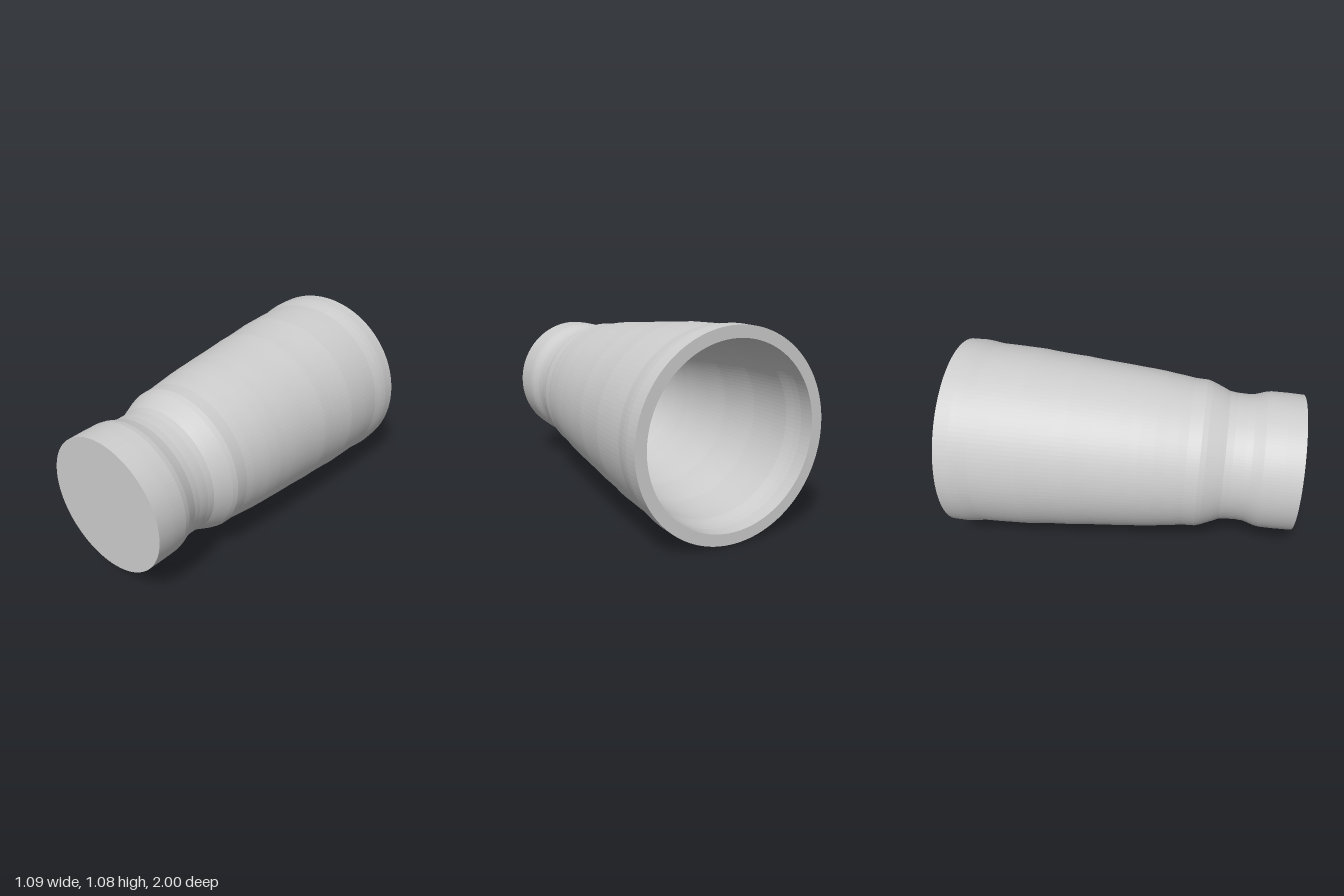
import * as THREE from 'three';

export function createModel() {
  const group = new THREE.Group();
  const grey = new THREE.MeshStandardMaterial({ color: 0xcccccc });
  grey.name = 'plain grey';

  // Axis of the cup: it lies on its side with the closed base to the front
  const base = new THREE.Vector3(-0.128, 0.521, 0.972);
  const mouth = new THREE.Vector3(0, 0.543, -0.965);
  const axis = mouth.clone().sub(base);
  const length = axis.length();
  const wall = 0.062;

  const cup = new THREE.Group();
  cup.name = 'cup';
  cup.position.copy(base);
  cup.quaternion.setFromUnitVectors(new THREE.Vector3(0, 1, 0), axis.normalize());
  group.add(cup);

  // Revolved surface with crisp bands
  function revolve(name, points) {
    const lathe = new THREE.LatheGeometry(points.map(([r, y]) => new THREE.Vector2(r, y)), 128);
    const geometry = lathe.toNonIndexed();
    geometry.computeVertexNormals();
    const mesh = new THREE.Mesh(geometry, grey);
    mesh.name = name;
    cup.add(mesh);
  }

  // Radius and distance from the base: foot, waist, shoulder, flaring body, lip
  const outer = [
    [0.385, 0], [0.388, 0.1], [0.388, 0.18], [0.383, 0.21], [0.373, 0.24], [0.364, 0.27],
    [0.361, 0.31], [0.363, 0.37], [0.369, 0.41], [0.385, 0.445], [0.398, 0.475],
    [0.413, 0.51], [0.422, 0.54], [0.425, 0.61], [0.433, 0.66], [0.441, 0.72],
    [0.45, 0.78], [0.459, 0.86], [0.463, 0.91], [0.47, 0.98], [0.477, 1.06],
    [0.482, 1.12], [0.488, 1.18], [0.496, 1.25], [0.5, 1.32], [0.505, 1.38],
    [0.511, 1.44], [0.518, 1.5], [0.521, 1.57], [0.525, 1.66], [0.528, 1.76],
    [0.538, 1.82], [0.542, 1.86], [0.541, length]
  ];
  revolve('outerWall', outer);
  revolve('base', [[0, 0], outer[0]]);

  // Flat rim around the open end
  const rimRadius = 0.541 - wall;
  revolve('rim', [[0.541, length], [rimRadius, length]]);

  // Hollow inside, following the outer wall down to the floor
  const floor = 0.07;
  const inner = outer.filter(([, y]) => y > floor).map(([r, y]) => [r - wall, y]).reverse();
  inner.push([0.325, floor]);
  revolve('innerWall', inner);
  revolve('innerFloor', [[0.325, floor], [0, floor]]);

  return group;
}
